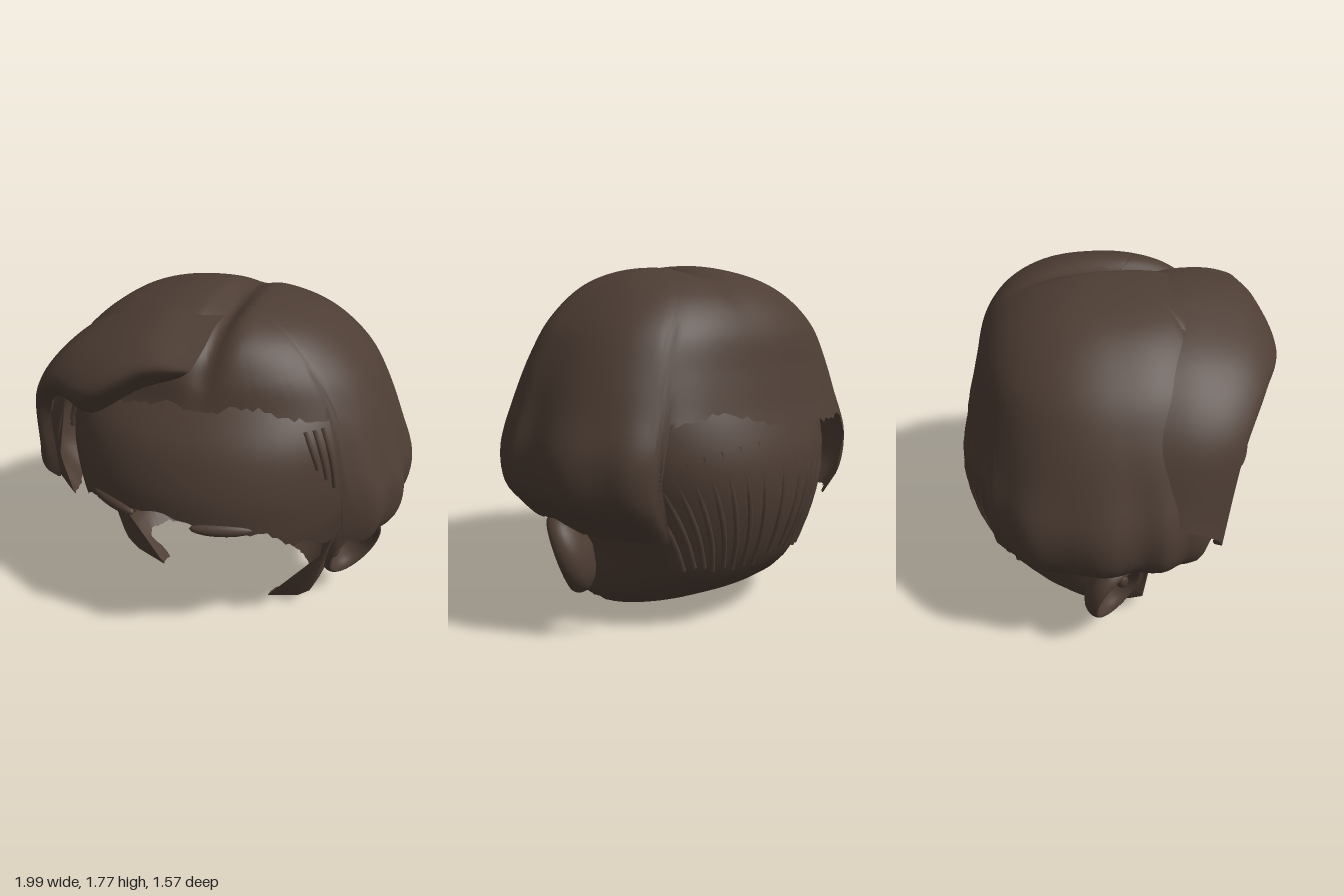
import * as THREE from 'three';

const material = new THREE.MeshStandardMaterial({ color: 0x4d3d34, roughness: 0.9, side: THREE.DoubleSide });
const V = (x, y, z) => new THREE.Vector3(x, y, z);
const hash = i => { const s = Math.sin(i * 127.1 + 11.7) * 43758.5453; return s - Math.floor(s); };
const ragged = i => hash(i) * 0.4 + hash(Math.floor(i / 4) + 50) * 0.6 - 0.5;
const step = THREE.MathUtils.smoothstep;

// Linear lookup in [key, value] pairs with rising keys
function lookup(table, k) {
  if (k <= table[0][0]) return table[0][1];
  for (let i = 1; i < table.length; i++) {
    const [k0, v0] = table[i - 1], [k1, v1] = table[i];
    if (k <= k1) return v0 + (v1 - v0) * (k - k0) / (k1 - k0);
  }
  return table[table.length - 1][1];
}

// Smooth profile of [radius, height] points from the top down, as a radius-by-height table with a flat crown
function profile(points) {
  const mirrored = [[-points[1][0], points[1][1]], ...points];
  const curve = new THREE.CatmullRomCurve3(mirrored.map(([r, y]) => V(r, y, 0)), false, 'centripetal');
  return curve.getPoints(240).filter(p => p.x >= 0).reverse().map(p => [p.y, p.x]).concat([[points[0][1], 0]]);
}

// Surface from a grid of points; u may wrap around
function grid(nu, nv, point, wrap) {
  const pos = [], idx = [], cols = wrap ? nu : nu + 1;
  for (let i = 0; i < cols; i++)
    for (let j = 0; j <= nv; j++) pos.push(...point(i / nu, j / nv, i).toArray());
  for (let i = 0; i < nu; i++)
    for (let j = 0; j < nv; j++) {
      const a = i * (nv + 1) + j, b = ((i + 1) % cols) * (nv + 1) + j;
      idx.push(a, a + 1, b, b, a + 1, b + 1);
    }
  const g = new THREE.BufferGeometry();
  g.setAttribute('position', new THREE.Float32BufferAttribute(pos, 3));
  g.setIndex(idx);
  g.computeVertexNormals();
  return g;
}

// Point on a rounded body at azimuth a (0 = front, rising towards +x) and height y
function bodyPoint(body, a, y, grow = 0) {
  const s = Math.sin(a), c = Math.cos(a), n = body.power(s, c);
  const f = Math.pow(Math.abs(s) ** n + Math.abs(c) ** n, -1 / n);
  const w = lookup(body.side, y) + grow, d = lookup(c > 0 ? body.front : body.back, y) + grow;
  return V(w * f * s, y, d * f * c);
}

const skull = {
  top: 1.64, power: () => 2.1,
  side: profile([[0, 1.64], [0.3, 1.6], [0.52, 1.5], [0.68, 1.37], [0.78, 1.18], [0.8, 1], [0.78, 0.8], [0.72, 0.6], [0.66, 0.4], [0.62, 0.2], [0.57, 0.1], [0.47, 0.04], [0.34, 0]]),
  front: profile([[0, 1.64], [0.25, 1.57], [0.4, 1.48], [0.53, 1.36], [0.66, 1.2], [0.73, 1], [0.74, 0.85], [0.74, 0.4], [0.74, 0]]),
  back: profile([[0, 1.64], [0.3, 1.57], [0.5, 1.42], [0.64, 1.2], [0.73, 1], [0.775, 0.82], [0.76, 0.6], [0.66, 0.33], [0.55, 0.2], [0.38, 0.1], [0.1, 0]]),
};
// Lower edge of the skull by degrees from the front
const skullEdge = [[0, 0.89], [22, 0.83], [35, 0.82], [47, 0.73], [65, 0.63], [77.5, 0.56], [80, 0], [86, 0], [94, 0.06], [102, 0.075], [180, 0.08]];

const hair = {
  top: 1.77, power: (s, c) => s < 0 ? 2.5 : c > 0 ? 1.95 : 2.75,
  side: profile([[0, 1.77], [0.25, 1.75], [0.5, 1.67], [0.72, 1.49], [0.83, 1.32], [0.92, 1.1], [0.985, 0.88], [0.96, 0.7], [0.86, 0.58], [0.78, 0.5]]),
  front: profile([[0, 1.77], [0.3, 1.74], [0.46, 1.65], [0.54, 1.52], [0.58, 1.38], [0.65, 1.2], [0.71, 1], [0.72, 0.5]]),
  back: profile([[0, 1.77], [0.2, 1.75], [0.4, 1.68], [0.53, 1.585], [0.62, 1.45], [0.67, 1.26], [0.71, 1.1], [0.757, 0.92], [0.75, 0.7], [0.7, 0.5]]),
};
// Lower edge of the hair by signed degrees
const hairEdge = [[-180, 1.02], [-150, 0.99], [-143, 0.96], [-139, 0.56], [-100, 0.54], [-60, 0.57], [-55, 0.63], [-52, 1.3], [-30, 1.36], [0, 1.38],
  [30, 1.4], [56, 1.32], [60, 0.7], [80, 0.6], [110, 0.53], [140, 0.51], [144, 1.05], [160, 1.08], [180, 1.02]];

function skullGeometry() {
  return grid(180, 44, (u, v, i) => {
    const a = u * Math.PI * 2 - Math.PI, edge = lookup(skullEdge, Math.abs(a) * 180 / Math.PI);
    const bottom = Math.max(0, edge + ragged(i) * (edge > 0.3 ? 0.06 : 0.015));
    return bodyPoint(skull, a, skull.top - (skull.top - bottom) * v ** 1.7);
  }, true);
}

function hairGeometry() {
  return grid(180, 56, (u, v, i) => {
    const a = u * Math.PI * 2 - Math.PI, deg = a * 180 / Math.PI;
    const bottom = lookup(hairEdge, deg) + ragged(i + 300) * 0.06;
    const y = hair.top - (hair.top - bottom) * v ** 2;
    const p = bodyPoint(hair, a, y);
    // Soft folds on the hanging sides
    const fold = 1 + 0.014 * Math.sin(a * 17 + Math.sin(a * 5)) * (1 - step(y, 0.75, 1.35)) * Math.abs(Math.sin(a));
    p.x *= fold;
    p.z *= fold;
    // Front edge of the side hair turns in towards the temple
    const tuck = (1 - step(Math.abs(deg), 55, 66)) * (1 - step(y, 1.1, 1.35));
    p.lerp(bodyPoint(skull, a, y, 0.01), tuck * 0.4);
    // Parting that runs from the brow to the crown
    const d = (p.x - 0.1 - 0.06 * p.z) / 0.07;
    p.y -= 0.07 * Math.exp(-d * d) * step(y, 1.3, 1.6) * step(p.z, -0.65, 0.2);
    return p;
  }, true);
}

// Swept fringe: sections run from the crown over the front to the curled-in lower edge
function fringeGeometry() {
  const sections = [
    [V(0.08, 1.68, 0.1), V(0.12, 1.71, 0.35), V(0.16, 1.68, 0.58), V(0.15, 1.63, 0.69), V(0.08, 1.57, 0.66)],
    [V(-0.1, 1.73, 0.1), V(-0.1, 1.74, 0.38), V(-0.08, 1.68, 0.64), V(-0.06, 1.61, 0.73), V(-0.09, 1.5, 0.69)],
    [V(-0.35, 1.69, 0.1), V(-0.35, 1.68, 0.38), V(-0.34, 1.59, 0.67), V(-0.33, 1.47, 0.78), V(-0.36, 1.33, 0.72)],
    [V(-0.61, 1.56, 0.1), V(-0.62, 1.55, 0.35), V(-0.61, 1.49, 0.57), V(-0.6, 1.41, 0.66), V(-0.58, 1.32, 0.61)],
    [V(-0.81, 1.33, 0.1), V(-0.84, 1.31, 0.3), V(-0.83, 1.27, 0.46), V(-0.81, 1.22, 0.52), V(-0.76, 1.17, 0.48)],
    [V(-0.95, 0.95, 0.1), V(-0.96, 0.9, 0.28), V(-0.93, 0.82, 0.4), V(-0.88, 0.74, 0.44), V(-0.8, 0.68, 0.42)],
  ].map(points => new THREE.CatmullRomCurve3(points));
  return grid(44, 24, (u, v, i) => {
    const p = new THREE.CatmullRomCurve3(sections.map(s => s.getPoint(v))).getPoint(u);
    if (v === 1) p.y += ragged(i + 700) * 0.05 * step(u, 0.3, 0.5);
    return p;
  }, false);
}

// Thin strand along the skull between two azimuth/height pairs, rising from it towards the tip
function strand(a0, y0, a1, y1, radius, grow) {
  const points = [0, 0.33, 0.67, 1].map(t => bodyPoint(skull, a0 + (a1 - a0) * t, y0 + (y1 - y0) * t, grow + 0.016 * t));
  return new THREE.TubeGeometry(new THREE.CatmullRomCurve3(points), 8, radius, 5);
}

function makeEar() {
  const ear = new THREE.Group();
  // Cupped shell with a rolled rim
  const cup = new THREE.LatheGeometry(new THREE.SplineCurve([[0, -0.06], [0.35, -0.05], [0.62, 0], [0.76, 0.04], [0.9, 0.055], [1, 0.02], [0.93, -0.03], [0.6, -0.08], [0, -0.11]]
    .map(([r, h]) => new THREE.Vector2(r, h))).getPoints(32), 36);
  cup.rotateX(Math.PI / 2);
  cup.scale(0.165, 0.22, 1);
  const shell = new THREE.Mesh(cup, material);
  shell.name = 'earShell';
  const fold = new THREE.Mesh(new THREE.TorusGeometry(0.075, 0.022, 8, 24, Math.PI * 1.3), material);
  fold.name = 'earFold';
  fold.scale.y = 1.3;
  fold.position.set(0, 0, -0.025);
  const flap = new THREE.Mesh(new THREE.SphereGeometry(0.04, 16, 12), material);
  flap.name = 'earFlap';
  flap.scale.set(0.8, 1.3, 0.7);
  flap.position.set(-0.08, -0.06, 0);
  ear.add(shell, fold, flap);
  ear.position.set(0.735, 0.38, -0.06);
  ear.rotation.set(0, 0.95, -0.4, 'ZYX');
  return ear;
}

export function createModel() {
  const model = new THREE.Group();
  model.name = 'hairAndScalp';
  const add = (name, geometry, parent = model) => {
    const mesh = new THREE.Mesh(geometry, material);
    mesh.name = name;
    parent.add(mesh);
    return mesh;
  };
  add('skull', skullGeometry());
  add('hairCap', hairGeometry());
  add('fringe', fringeGeometry());

  // Fan of strands at the nape, closer together at the sides
  const nape = new THREE.Group();
  nape.name = 'napeStrands';
  for (let i = 0; i < 17; i++) {
    const t = (i - 8) / 8, k = Math.sign(t) * Math.abs(t) ** 0.8;
    add('napeStrand', strand(Math.PI + k * 0.95, 0.95 - 0.15 * k * k, Math.PI + k * 0.68, 0.31 + 0.07 * hash(i + 40), 0.013, -0.01), nape);
  }
  model.add(nape);

  for (const side of [1, -1]) {
    const half = new THREE.Group();
    half.name = side > 0 ? 'leftSide' : 'rightSide';
    half.scale.x = side;
    const ear = makeEar();
    ear.name = 'ear';
    half.add(ear);
    // Short wisps at the temple
    for (let i = 0; i < 3; i++)
      add('templeStrand', strand(0.88 + i * 0.07, 1.28, 0.94 + i * 0.07, 1.12 - i * 0.06, 0.012, 0), half);
    // Soft ridge at the brow
    const brow = add('browRidge', new THREE.SphereGeometry(1, 24, 12), half);
    brow.scale.set(0.15, 0.035, 0.035);
    brow.position.set(0.29, 0.84, 0.68);
    brow.rotation.y = 0.36;
    model.add(half);
  }
  return model;
}
